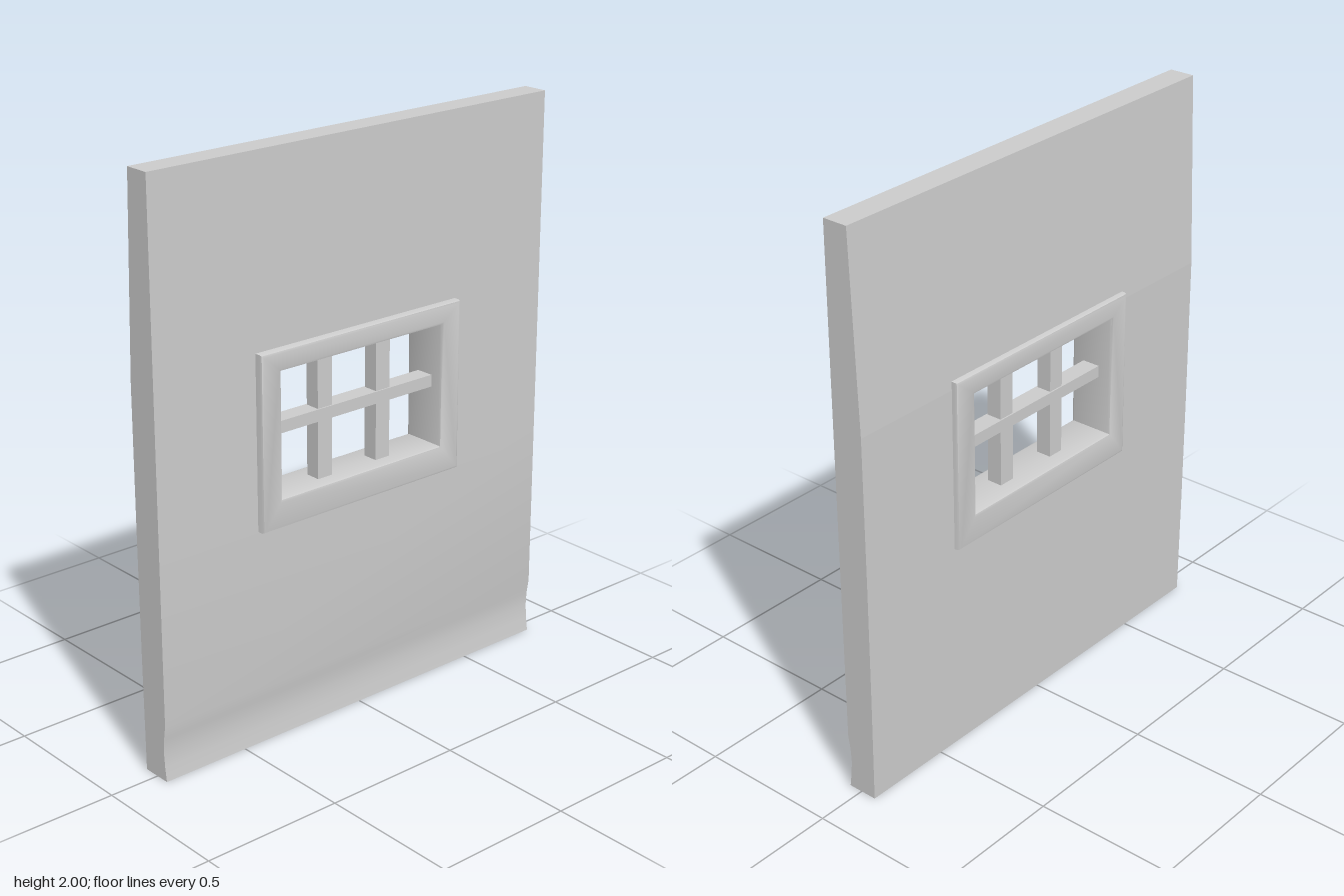
import * as THREE from 'three';
import { toCreasedNormals } from 'three/addons/utils/BufferGeometryUtils.js';

const material = new THREE.MeshStandardMaterial({ color: 0xcccccc });

function addMesh(group, name, geometry, x = 0, y = 0, z = 0) {
  const mesh = new THREE.Mesh(toCreasedNormals(geometry, 0.6), material);
  mesh.name = name;
  mesh.position.set(x, y, z);
  group.add(mesh);
  return mesh;
}

// Extrude an (x, y) wall profile along z
function wallPiece(group, name, points, z0, z1) {
  const shape = new THREE.Shape(points.map(([x, y]) => new THREE.Vector2(x, y)));
  const geometry = new THREE.ExtrudeGeometry(shape, { depth: z1 - z0, bevelEnabled: false });
  addMesh(group, name, geometry, 0, 0, z0);
}

function rectangle(Type, z0, z1, y0, y1) {
  return new Type([[z0, y0], [z1, y0], [z1, y1], [z0, y1]].map(([a, b]) => new THREE.Vector2(a, b)));
}

export function createModel() {
  const model = new THREE.Group();
  model.name = 'windowWall';
  const halfWidth = 0.82, sill = 0.81, lintel = 1.33;

  // Wall: shallow groove near the foot, slight taper towards the top
  wallPiece(model, 'lowerWall', [
    [-0.058, 0], [0.05, 0], [0.043, 0.05], [0.039, 0.1], [0.042, 0.15], [0.05, 0.2],
    [0.05, sill], [-0.064, sill], [-0.062, 0.4],
  ], -halfWidth, halfWidth);
  wallPiece(model, 'upperWall', [
    [-0.064, lintel], [0.05, lintel], [0.05, 2], [-0.04, 2], [-0.05, 1.72], [-0.06, 1.44],
  ], -halfWidth, halfWidth);
  for (const [name, z0, z1] of [['leftWall', 0.39, halfWidth], ['rightWall', -halfWidth, -0.38]]) {
    wallPiece(model, name, [[-0.064, sill], [0.05, sill], [0.05, lintel], [-0.064, lintel]], z0, z1);
  }

  // Window frame, standing proud of both wall faces
  const bevel = 0.01;
  const outline = rectangle(THREE.Shape, -0.42 + bevel, 0.43 - bevel, 0.76 + bevel, 1.36 - bevel);
  outline.holes.push(rectangle(THREE.Path, -0.335 - bevel, 0.35 + bevel, 0.86 - bevel, 1.29 + bevel));
  const depth = 0.165 - 2 * bevel;
  const frame = new THREE.ExtrudeGeometry(outline, {
    depth, bevelThickness: bevel, bevelSize: bevel, bevelSegments: 2,
  });
  frame.translate(0, 0, -depth / 2);
  frame.rotateY(-Math.PI / 2);
  addMesh(model, 'windowFrame', frame, -0.0025);

  // Window bars
  for (const z of [0.13, -0.12]) {
    addMesh(model, 'verticalBar', new THREE.BoxGeometry(0.055, 0.46, 0.06), 0, 1.075, z);
  }
  addMesh(model, 'horizontalBar', new THREE.BoxGeometry(0.065, 0.042, 0.71), 0, 1.083, 0.0075);

  return model;
}
